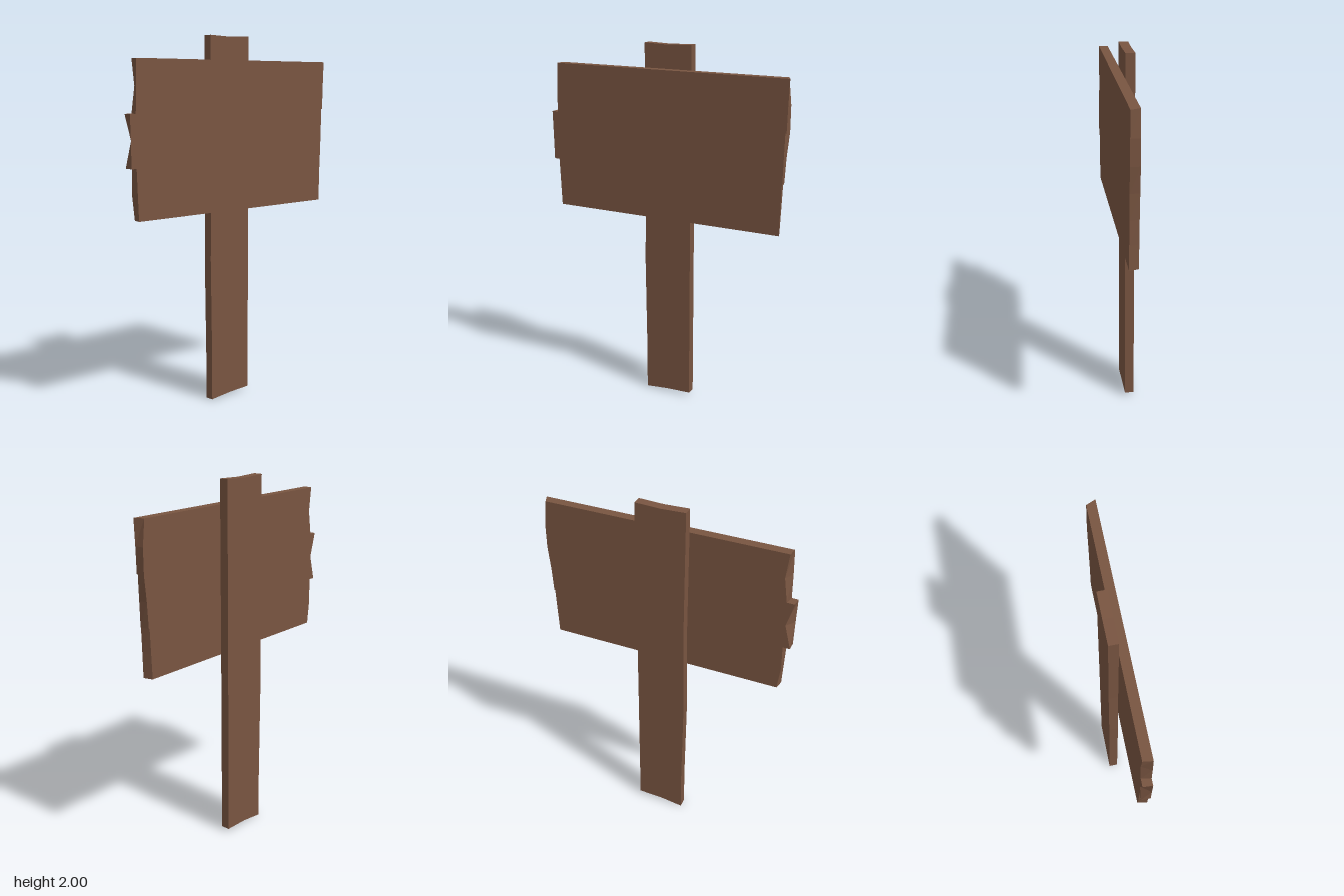
import * as THREE from 'three';

const wood = new THREE.MeshStandardMaterial({ color: 0x795541, flatShading: true });

// Plank lofted between a front and a back outline (same point count, counter-clockwise from the front)
function plank(name, front, back, zFront, zBack) {
  const pos = [];
  const put = (p, z) => pos.push(p[0], p[1], z);
  const cap = (pts, z, flip) => {
    const tris = THREE.ShapeUtils.triangulateShape(pts.map(p => new THREE.Vector2(p[0], p[1])), []);
    for (const [a, b, c] of tris) (flip ? [a, c, b] : [a, b, c]).forEach(i => put(pts[i], z));
  };
  cap(front, zFront, false);
  cap(back, zBack, true);
  // Rim
  front.forEach((f0, i) => {
    const j = (i + 1) % front.length;
    const f1 = front[j], b0 = back[i], b1 = back[j];
    put(f0, zFront); put(b0, zBack); put(b1, zBack);
    put(f0, zFront); put(b1, zBack); put(f1, zFront);
  });
  const geo = new THREE.BufferGeometry();
  geo.setAttribute('position', new THREE.Float32BufferAttribute(pos, 3));
  geo.computeVertexNormals();
  const mesh = new THREE.Mesh(geo, wood);
  mesh.name = name;
  return mesh;
}

// Board outline from the x of its left and right ends, listed bottom, middle, top
function boardOutline(y0, y1, xMin, xMax) {
  const ys = [y0, (y0 + y1) / 2, y1];
  return [
    ...xMax.map((x, i) => [x, ys[i]]),
    ...xMin.map((x, i) => [x, ys[i]]).reverse(),
  ];
}

export function createModel() {
  const group = new THREE.Group();
  group.name = 'woodenSign';

  // Upright post with slightly uneven sides and ends
  const post = [
    [-0.13, 0.003], [0, 0.015], [0.14, 0.02], [0.138, 1], [0.138, 2],
    [0, 1.995], [-0.134, 2], [-0.13, 1.3], [-0.138, 0.8], [-0.13, 0.25],
  ];
  const postBack = post.map(p => [...p]);
  postBack[0][1] = 0;
  postBack[1][1] = 0.017;
  group.add(plank('post', post, postBack, 0, -0.05));

  // Three boards with rough, skewed ends
  const boards = [
    { name: 'lowerBoard', y: [1.065, 1.33],
      front: [[-0.65, -0.655, -0.66], [0.665, 0.667, 0.67]],
      back: [[-0.64, -0.655, -0.652], [0.65, 0.655, 0.66]] },
    { name: 'middleBoard', y: [1.33, 1.6],
      front: [[-0.69, -0.692, -0.695], [0.672, 0.675, 0.678]],
      back: [[-0.69, -0.655, -0.692], [0.665, 0.672, 0.685]] },
    { name: 'upperBoard', y: [1.6, 1.87],
      front: [[-0.66, -0.657, -0.652], [0.684, 0.687, 0.692]],
      back: [[-0.65, -0.63, -0.645], [0.685, 0.685, 0.67]] },
  ];
  for (const b of boards) {
    group.add(plank(b.name, boardOutline(...b.y, ...b.front), boardOutline(...b.y, ...b.back), 0.05, 0));
  }
  return group;
}
